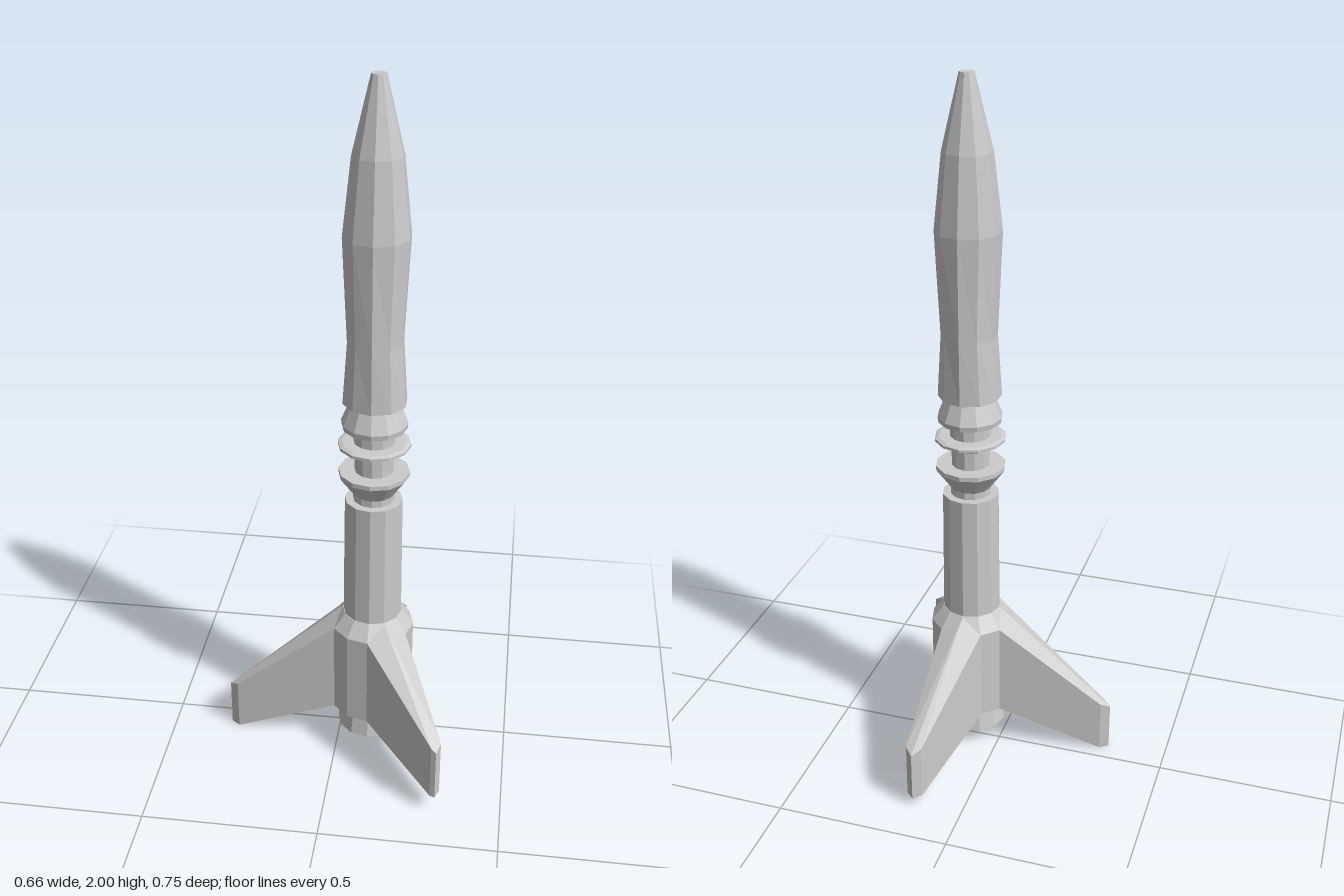
import * as THREE from 'three';
import { ConvexGeometry } from 'three/addons/geometries/ConvexGeometry.js';

const material = new THREE.MeshStandardMaterial({ color: 0xcccccc, flatShading: true });
const CX = 0.096, CZ = 0.035; // body axis

export function createModel() {
  const group = new THREE.Group();
  group.name = 'rocket';

  const add = (name, geometry, x = CX, z = CZ) => {
    const mesh = new THREE.Mesh(geometry, material);
    mesh.name = name;
    mesh.position.set(x, 0, z);
    group.add(mesh);
    return mesh;
  };
  // Profile points are [radius, height], listed from bottom to top
  const turned = (name, profile, sides = 12) =>
    add(name, new THREE.LatheGeometry(profile.map(([r, y]) => new THREE.Vector2(r, y)), sides));

  turned('nozzle', [[0, 0.048], [0.099, 0.048], [0.087, 0.13], [0, 0.13]]);
  turned('finHub', [[0, 0.125], [0.12, 0.125], [0.12, 0.405], [0.086, 0.448], [0, 0.448]]);
  turned('lowerBody', [[0, 0.44], [0.084, 0.44], [0.081, 0.82], [0, 0.82]]);
  turned('lowerCollar', [[0.058, 0.81], [0.058, 0.84], [0.099, 0.897], [0.099, 0.91], [0, 0.91]]);
  turned('neck', [[0.054, 0.9], [0.054, 0.99]]);
  turned('disc', [[0, 0.982], [0.09, 0.982], [0.101, 0.988], [0.101, 0.996], [0.09, 1.0], [0, 1.0]]);
  turned('upperNeck', [[0.058, 0.99], [0.058, 1.05]]);
  turned('upperCollar', [[0, 1.045], [0.09, 1.045], [0.092, 1.06], [0.065, 1.125]]);

  // Ten-sided upper body, pinched sideways at its waist
  const upper = turned('upperBody', [[0, 1.12], [0.089, 1.12], [0.09, 1.3], [0.091, 1.59],
    [0.068, 1.8], [0.02, 2], [0, 2]], 10);
  const p = upper.geometry.attributes.position;
  for (let i = 0; i < p.count; i++) {
    if (Math.abs(p.getY(i) - 1.3) < 0.01) p.setX(i, p.getX(i) * 0.85);
  }

  // Fins: root on the hub at angle +-30 degrees, bevelled three-point tip [x, z]
  const fins = [
    { name: 'rightFin', angle: 180, top: 0.145, bottom: 0, tip: [[-0.305, 0.075], [-0.33, 0.057], [-0.305, 0.04]] },
    { name: 'backFin', angle: 270, top: 0.178, bottom: 0.028, tip: [[0.12, -0.358], [0.142, -0.38], [0.165, -0.358]] },
    { name: 'frontLeftFin', angle: 60, top: 0.215, bottom: 0.057, tip: [[0.326, 0.346], [0.315, 0.375], [0.301, 0.37]] },
  ];
  for (const { name, angle, top, bottom, tip } of fins) {
    const rim = (r, degrees, y) => {
      const a = THREE.MathUtils.degToRad(degrees);
      return new THREE.Vector3(CX + r * Math.cos(a), y, CZ + r * Math.sin(a));
    };
    const points = [rim(0.086, angle, 0.447)];
    for (const side of [-30, 30]) {
      points.push(rim(0.12, angle + side, 0.405), rim(0.12, angle + side, 0.125));
    }
    tip.forEach(([x, z], i) => {
      const inner = i === 1 ? 0 : 0.012; // outer edge of the tip is slightly lower
      points.push(new THREE.Vector3(x, top + inner, z), new THREE.Vector3(x, bottom, z));
    });
    add(name, new ConvexGeometry(points), 0, 0);
  }
  return group;
}
